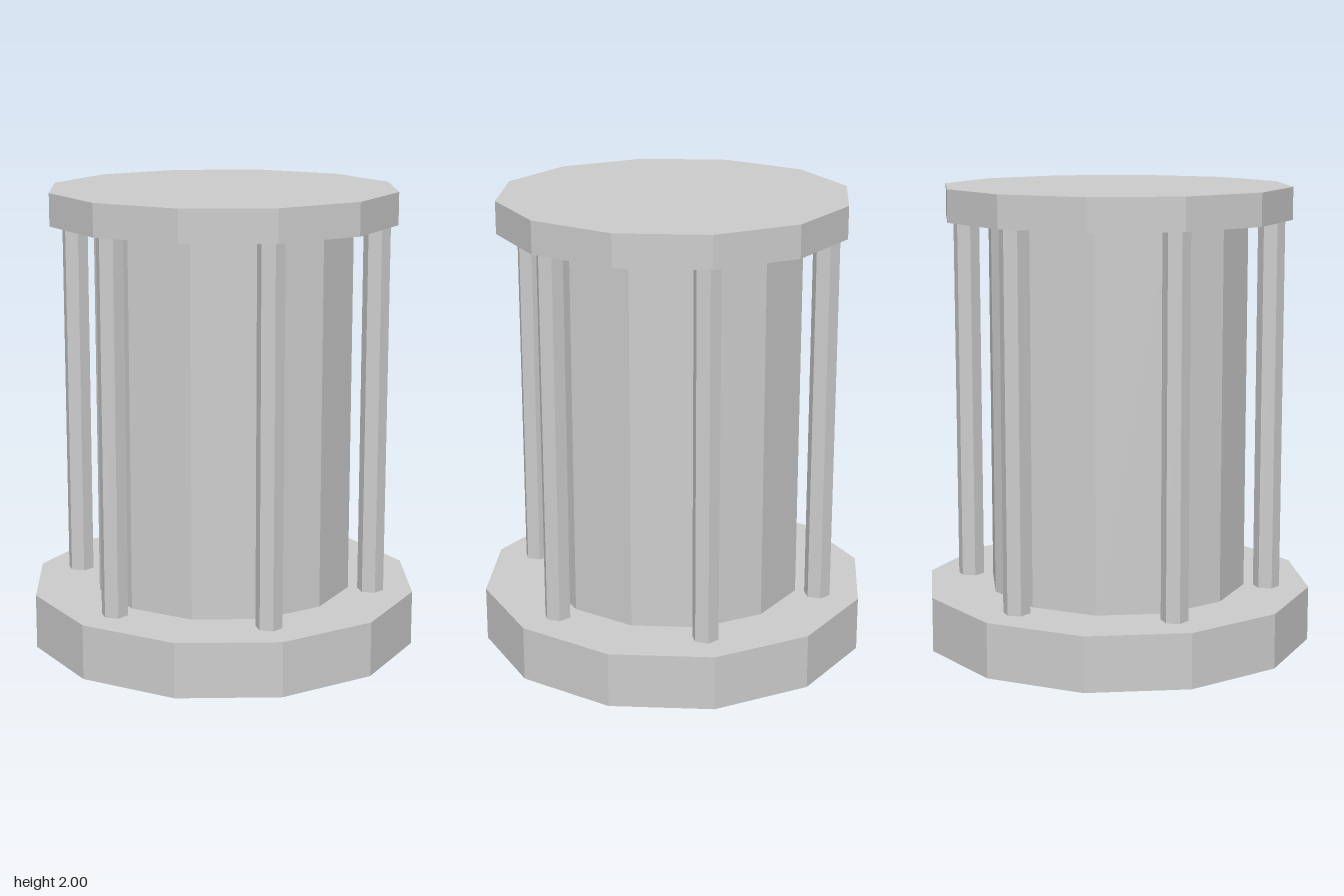
import * as THREE from 'three';

export function createModel() {
  const model = new THREE.Group();
  const stone = new THREE.MeshStandardMaterial({ color: 0xcccccc, flatShading: true });
  stone.name = 'pale grey';

  // Upright faceted prism between two heights
  function prism(name, radius, sides, y0, y1, x = 0, z = 0, start = 0) {
    const geometry = new THREE.CylinderGeometry(radius, radius, y1 - y0, sides, 1, false, start);
    const mesh = new THREE.Mesh(geometry, stone);
    mesh.name = name;
    mesh.position.set(x, (y0 + y1) / 2, z);
    model.add(mesh);
  }

  const baseTop = 0.24, capBottom = 1.86;
  prism('base', 0.857, 12, 0, baseTop);
  prism('core', 0.57, 12, baseTop, capBottom);
  prism('cap', 0.76, 12, capBottom, 2);

  // Ring of six hexagonal posts, all with corners pointing along x
  for (let i = 0; i < 6; i++) {
    const a = (i * Math.PI) / 3;
    prism('post' + (i + 1), 0.058, 6, baseTop, capBottom, 0.67 * Math.cos(a), 0.67 * Math.sin(a), Math.PI / 2);
  }
  return model;
}
